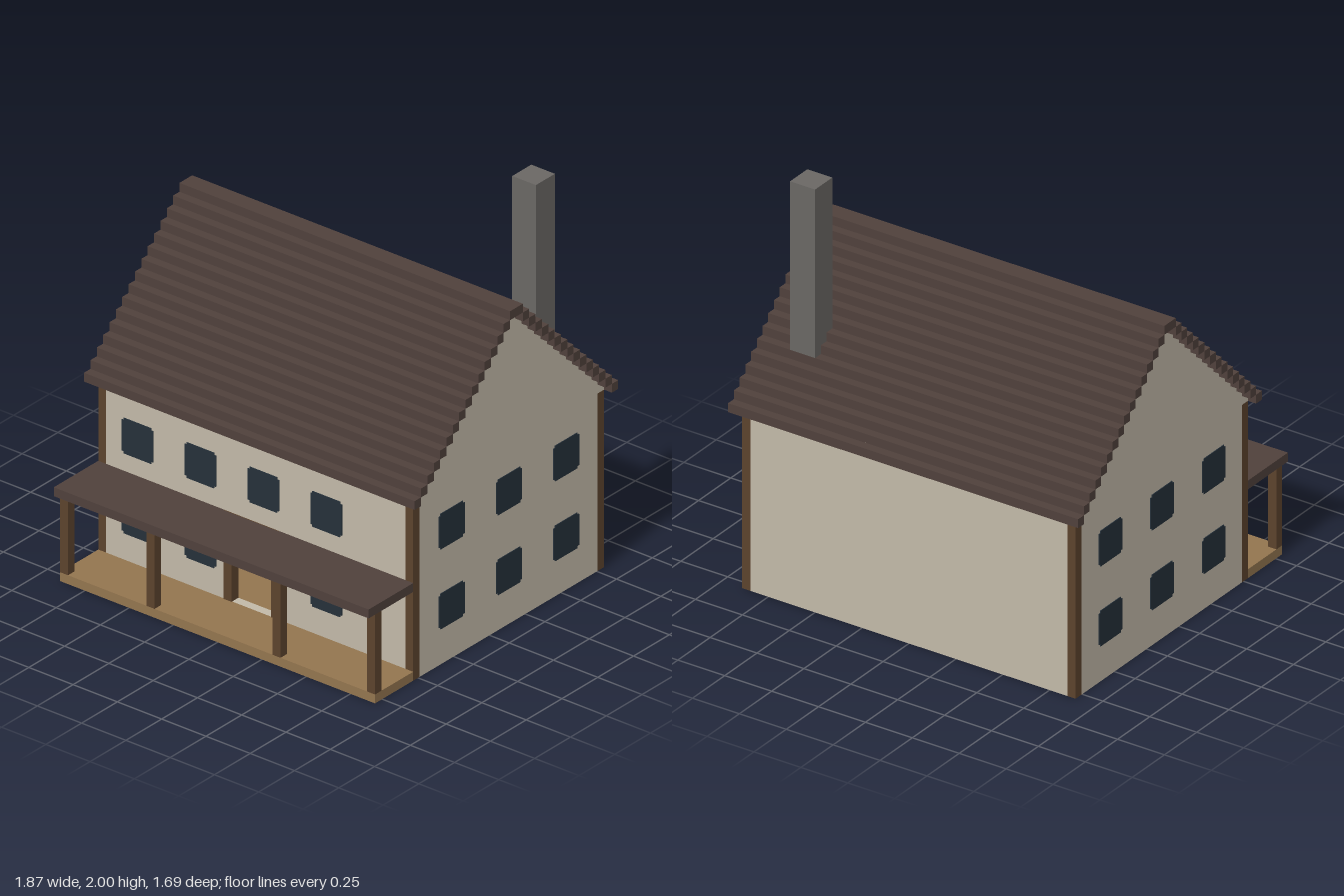
import * as THREE from 'three';

const V = 2 / 45; // one building block; all sizes below are in blocks

const mat = (name, color) => {
  const m = new THREE.MeshStandardMaterial({ color });
  m.name = name;
  return m;
};

export function createModel() {
  const house = new THREE.Group();
  house.name = 'house';
  const plaster = mat('plaster', 0xc2b9a8);
  const shingle = mat('roofShingle', 0x50413c);
  const timber = mat('darkTimber', 0x5c432d);
  const plank = mat('floorPlank', 0x93754f);
  const stone = mat('chimneyStone', 0x6a6764);
  const glass = mat('windowGlass', 0x25303a);

  const group = (name) => {
    const g = new THREE.Group();
    g.name = name;
    house.add(g);
    return g;
  };
  // box from its two corners
  const box = (parent, name, material, x0, x1, y0, y1, z0, z1) => {
    const g = new THREE.BoxGeometry((x1 - x0) * V, (y1 - y0) * V, (z1 - z0) * V);
    g.translate((x0 + x1) / 2 * V, (y0 + y1) / 2 * V, (z0 + z1) / 2 * V);
    const m = new THREE.Mesh(g, material);
    m.name = name;
    parent.add(m);
    return m;
  };

  // floors
  box(house, 'floor', plank, -19, 19, 0, 1, -17, 11);
  box(house, 'porchDeck', plank, -20, 20, 0, 1, 12, 18);

  // walls, the front one around the doorway
  const walls = group('walls');
  box(walls, 'backWall', plaster, -19, 19, 0, 20, -18, -17);
  box(walls, 'frontWallLeft', plaster, 3, 19, 0, 20, 11, 12);
  box(walls, 'frontWallRight', plaster, -19, -4, 0, 20, 11, 12);
  box(walls, 'doorSill', plaster, -4, 3, 0, 1, 11, 12);
  box(walls, 'wallAboveDoor', plaster, -4, 3, 11, 20, 11, 12);
  box(walls, 'frontWallPlate', plaster, -19, 19, 20, 21, 11, 12);
  box(walls, 'backWallPlate', plaster, -19, 19, 20, 21, -18, -17);

  // side walls with stepped gables
  const outline = [[-17, 0], [11, 0], [11, 20], [12, 20]];
  for (let i = 0; i < 15; i++) outline.push([12 - i, 21 + i], [11 - i, 21 + i]);
  for (let i = 14; i >= 0; i--) outline.push([-18 + i, 21 + i], [-18 + i, 20 + i]);
  outline.push([-17, 20]);
  const gable = new THREE.Shape(outline.map(([z, y]) => new THREE.Vector2(-z * V, y * V)));
  const gableGeo = new THREE.ExtrudeGeometry(gable, { depth: V, bevelEnabled: false });
  gableGeo.rotateY(Math.PI / 2);
  for (const [name, x] of [['leftGable', 19], ['rightGable', -20]]) {
    const m = new THREE.Mesh(gableGeo, plaster);
    m.name = name;
    m.position.x = x * V;
    walls.add(m);
  }

  // corner posts and door frame
  const frame = group('timberFrame');
  for (const x of [-20, 19])
    for (const z of [-18, 11]) box(frame, 'cornerPost', timber, x, x + 1, 0, 20, z, z + 1);
  for (const x of [-4, 2]) box(frame, 'doorPost', timber, x, x + 1, 1, 10, 11, 12.1);
  box(frame, 'doorLintel', timber, -4, 3, 10, 11, 11, 12.1);

  // windows: panes with notched corners, just proud of the wall
  const n = 0.25;
  const pane = new THREE.Shape();
  const corners = [[-2, -2 + n], [-2 + n, -2 + n], [-2 + n, -2], [2 - n, -2], [2 - n, -2 + n], [2, -2 + n],
    [2, 2 - n], [2 - n, 2 - n], [2 - n, 2], [-2 + n, 2], [-2 + n, 2 - n], [-2, 2 - n]];
  pane.setFromPoints(corners.map(([x, y]) => new THREE.Vector2(x * V, y * V)));
  const paneGeo = new THREE.ExtrudeGeometry(pane, { depth: 0.008, bevelEnabled: false });
  paneGeo.translate(0, 0, -0.004);
  const windows = group('windows');
  const addWindow = (name, x, y, z, turn) => {
    const m = new THREE.Mesh(paneGeo, glass);
    m.name = name;
    m.position.set(x * V, y * V, z * V);
    m.rotation.y = turn;
    windows.add(m);
  };
  for (const y of [6, 15]) {
    for (const x of [-15, -7, 1, 9])
      if (y > 6 || x !== 1) addWindow('frontWindow', x, y, 12, 0);
    for (const z of [6, -3, -12]) {
      addWindow('leftWindow', 20, y, z, Math.PI / 2);
      addWindow('rightWindow', -20, y, z, -Math.PI / 2);
    }
  }

  // stepped roof, one course per block
  const roof = group('roof');
  for (let i = 0; i < 16; i++) {
    box(roof, 'frontCourse', shingle, -21, 21, 20 + i, 21 + i, 12 - i, 13 - i);
    box(roof, 'backCourse', shingle, -21, 21, 20 + i, 21 + i, -19 + i, -18 + i);
  }

  box(house, 'chimney', stone, 14, 17, 1, 45, -14, -11);

  // porch
  const porch = group('porch');
  box(porch, 'porchRoof', shingle, -20, 20, 10, 11, 12, 19);
  for (const x of [-20, -9, 7, 19]) box(porch, 'porchPost', timber, x, x + 1, 1, 10, 17, 18);

  // table and stools seen through the doorway
  const furniture = group('furniture');
  box(furniture, 'tableTop', plank, -2, 2, 3, 4, -4, 0);
  for (const x of [-2, 1])
    for (const z of [-4, -1]) box(furniture, 'tableLeg', timber, x, x + 1, 1, 3, z, z + 1);
  for (const x of [-4, 2]) box(furniture, 'stool', timber, x, x + 2, 1, 3, -3, -1);

  return house;
}
